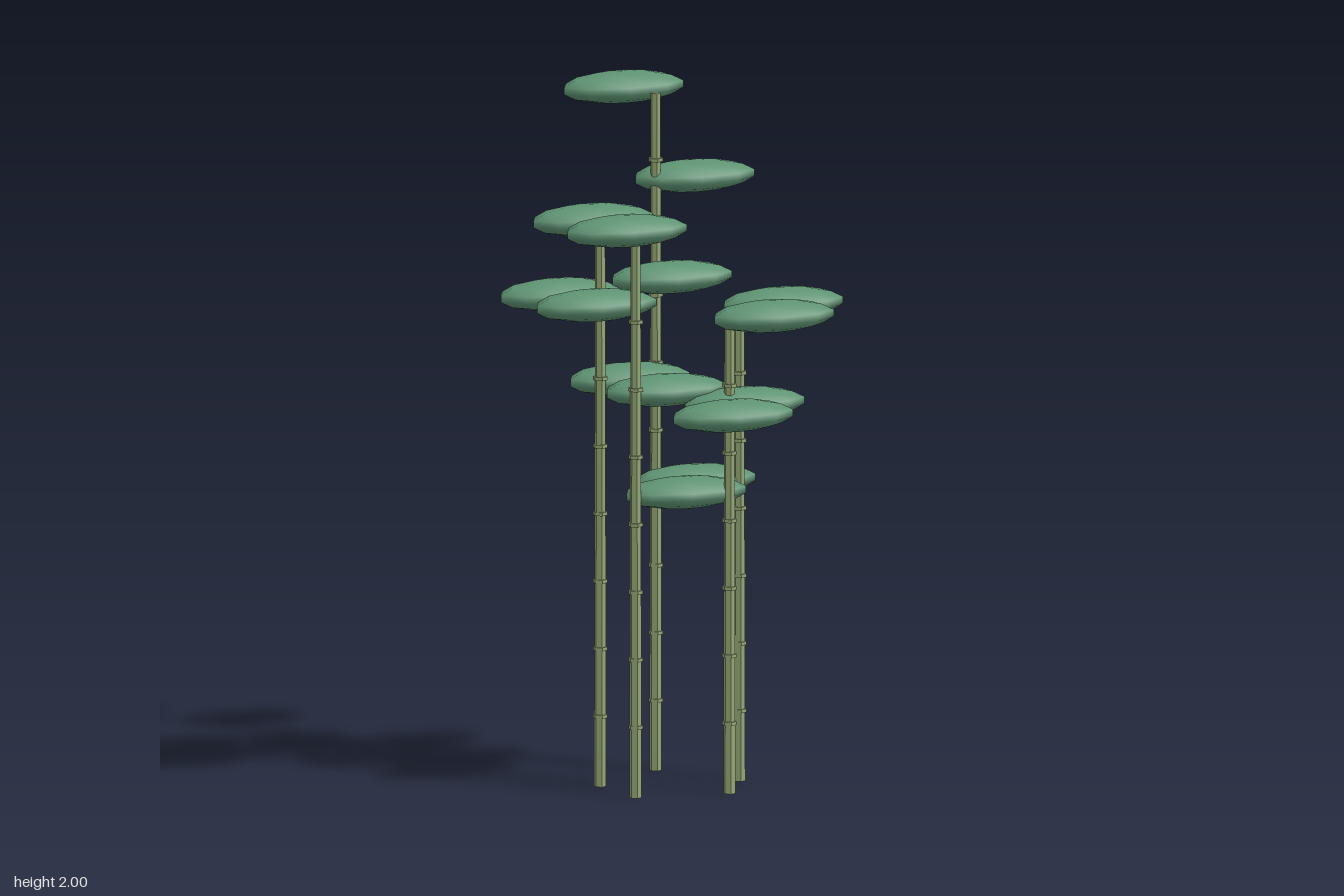
import * as THREE from 'three';

export function createModel() {
  const group = new THREE.Group();
  group.name = 'bambooCluster';

  const caneGreen = new THREE.MeshStandardMaterial({ color: 0x94a877, flatShading: true });
  caneGreen.name = 'cane green';
  const leafGreen = new THREE.MeshStandardMaterial({ color: 0x5f9474 });
  leafGreen.name = 'leaf green';

  // Flattened low-poly ellipsoid with one corner towards the front
  const leafGeometry = new THREE.SphereGeometry(1, 9, 7);
  leafGeometry.rotateY(Math.PI / 2);
  leafGeometry.scale(0.184, 0.045, 0.084);

  const nodeGeometry = new THREE.CylinderGeometry(0.021, 0.021, 0.01, 6);
  const nodeSpacing = 0.195;
  const leafReach = 0.128;
  const leafDrop = 0.253;
  const leafTurn = 104;

  // Each cane: base position, height, compass angle of its top leaf in degrees
  const canes = [
    { x: -0.003, z: -0.19, height: 1.955, angle: -120 },
    { x: -0.218, z: -0.026, height: 1.662, angle: 118 },
    { x: -0.168, z: 0.15, height: 1.662, angle: 120 },
    { x: 0.102, z: 0.174, height: 1.37, angle: 0 },
    { x: 0.18, z: 0.017, height: 1.37, angle: -2 },
  ];

  for (const { x, z, height, angle } of canes) {
    const cane = new THREE.Group();
    cane.name = 'cane';
    cane.position.set(x, 0, z);

    // Tapered six-sided stalk
    const stalk = new THREE.Mesh(new THREE.CylinderGeometry(0.0145, 0.0175, height, 6), caneGreen);
    stalk.name = 'stalk';
    stalk.position.y = height / 2;
    cane.add(stalk);

    // Joint rings
    for (let y = nodeSpacing + 0.008; y < height - 0.1; y += nodeSpacing) {
      const node = new THREE.Mesh(nodeGeometry, caneGreen);
      node.name = 'jointRing';
      node.position.y = y;
      cane.add(node);
    }

    // Three leaf pads spiralling down from the tip
    for (let i = 0; i < 3; i++) {
      const a = THREE.MathUtils.degToRad(angle + i * leafTurn);
      const leaf = new THREE.Mesh(leafGeometry, leafGreen);
      leaf.name = 'leafPad';
      leaf.position.set(leafReach * Math.cos(a), height - i * leafDrop, leafReach * Math.sin(a));
      cane.add(leaf);
    }
    group.add(cane);
  }
  return group;
}
